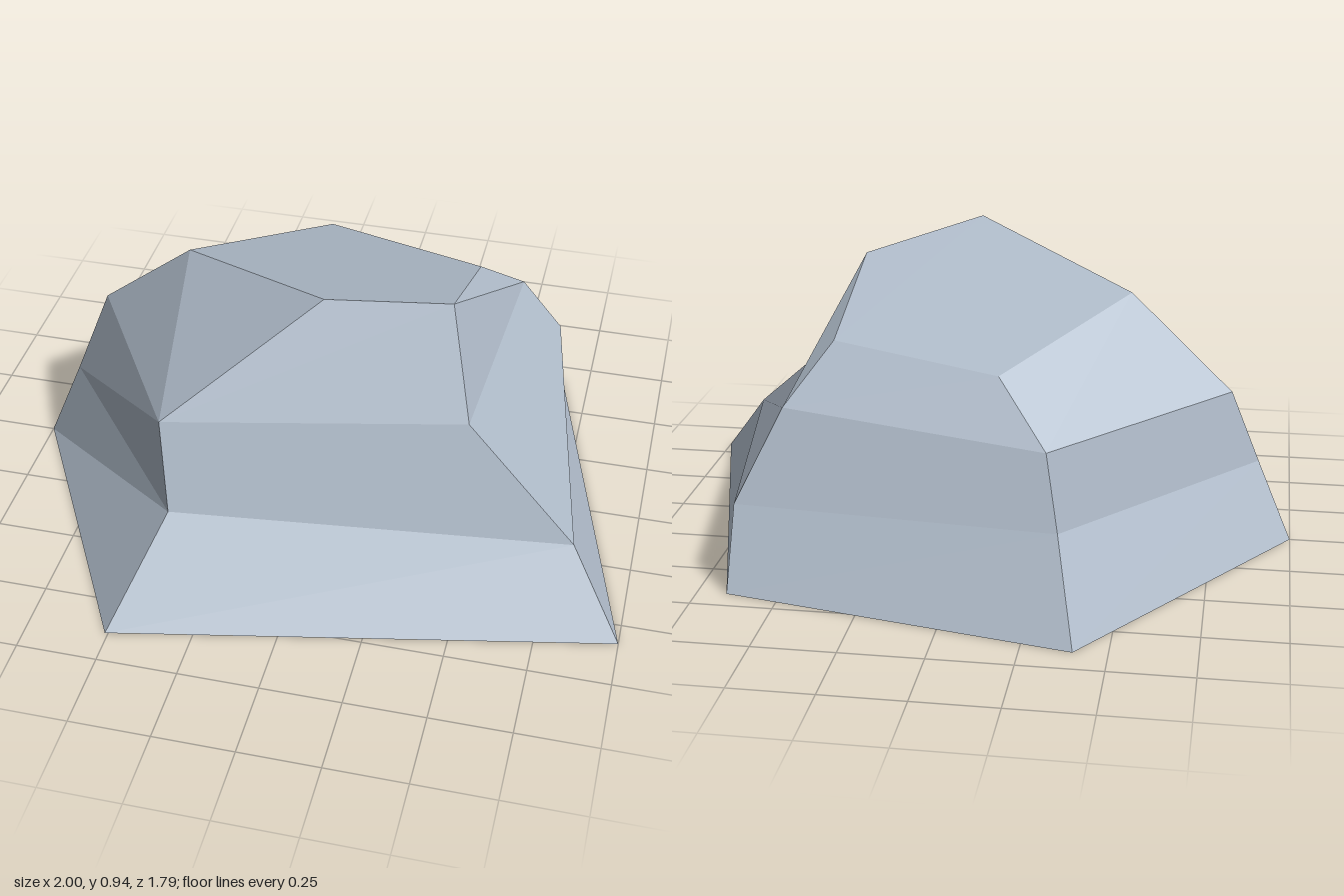
import * as THREE from 'three';

// Five-cornered cross-sections from the ground up, each counter-clockwise seen from above
const RINGS = [
  [[-1, 0, 0], [-0.51, 0, 0.89], [1, 0, 0.58], [0.66, 0, -0.67], [-0.4, 0, -0.9]],
  [[-0.89, 0.27, -0.02], [-0.38, 0.28, 0.62], [0.83, 0.23, 0.43], [0.64, 0.27, -0.62], [-0.33, 0.26, -0.68]],
  [[-0.8, 0.52, -0.1], [-0.4, 0.6, 0.59], [0.48, 0.55, 0.33], [0.52, 0.53, -0.48], [-0.29, 0.49, -0.64]],
  [[-0.48, 0.8, -0.02], [0.04, 0.94, 0.34], [0.39, 0.85, 0.15], [0.4, 0.69, -0.3], [-0.13, 0.66, -0.48]],
];

// Side facets (ring, corner) broken by a sharp crease, rising or falling from left to right
const RISING = new Set(['0,0', '1,0']);
const FALLING = new Set(['0,2', '2,0', '2,2']);

function buildRock() {
  const positions = [];
  const normals = [];

  // One facet: a fan of triangles sharing the facet's average normal
  const facet = (...corners) => {
    const p = corners.map((c) => new THREE.Vector3(...c));
    const normal = new THREE.Vector3();
    for (let k = 1; k < p.length - 1; k++) {
      normal.add(p[k].clone().sub(p[0]).cross(p[k + 1].clone().sub(p[0])));
    }
    normal.normalize();
    for (let k = 1; k < p.length - 1; k++) {
      for (const v of [p[0], p[k], p[k + 1]]) {
        positions.push(v.x, v.y, v.z);
        normals.push(normal.x, normal.y, normal.z);
      }
    }
  };

  // Faceted sides
  for (let r = 0; r < RINGS.length - 1; r++) {
    for (let i = 0; i < 5; i++) {
      const j = (i + 1) % 5;
      const a = RINGS[r][i], b = RINGS[r][j], c = RINGS[r + 1][j], d = RINGS[r + 1][i];
      const key = `${r},${i}`;
      if (RISING.has(key)) {
        facet(a, b, c);
        facet(a, c, d);
      } else if (FALLING.has(key)) {
        facet(a, b, d);
        facet(b, c, d);
      } else {
        facet(a, b, c, d);
      }
    }
  }

  // Sloping top, fanned from its peak, and flat underside
  const top = RINGS[3];
  facet(top[1], top[2], top[3], top[4], top[0]);
  facet(...[...RINGS[0]].reverse());

  const geometry = new THREE.BufferGeometry();
  geometry.setAttribute('position', new THREE.Float32BufferAttribute(positions, 3));
  geometry.setAttribute('normal', new THREE.Float32BufferAttribute(normals, 3));
  return geometry;
}

export function createModel() {
  const model = new THREE.Group();
  model.name = 'boulder';
  const stone = new THREE.MeshStandardMaterial({ color: 0xb1bdcb });
  stone.name = 'pale grey stone';
  const rock = new THREE.Mesh(buildRock(), stone);
  rock.name = 'rock';
  model.add(rock);
  return model;
}
